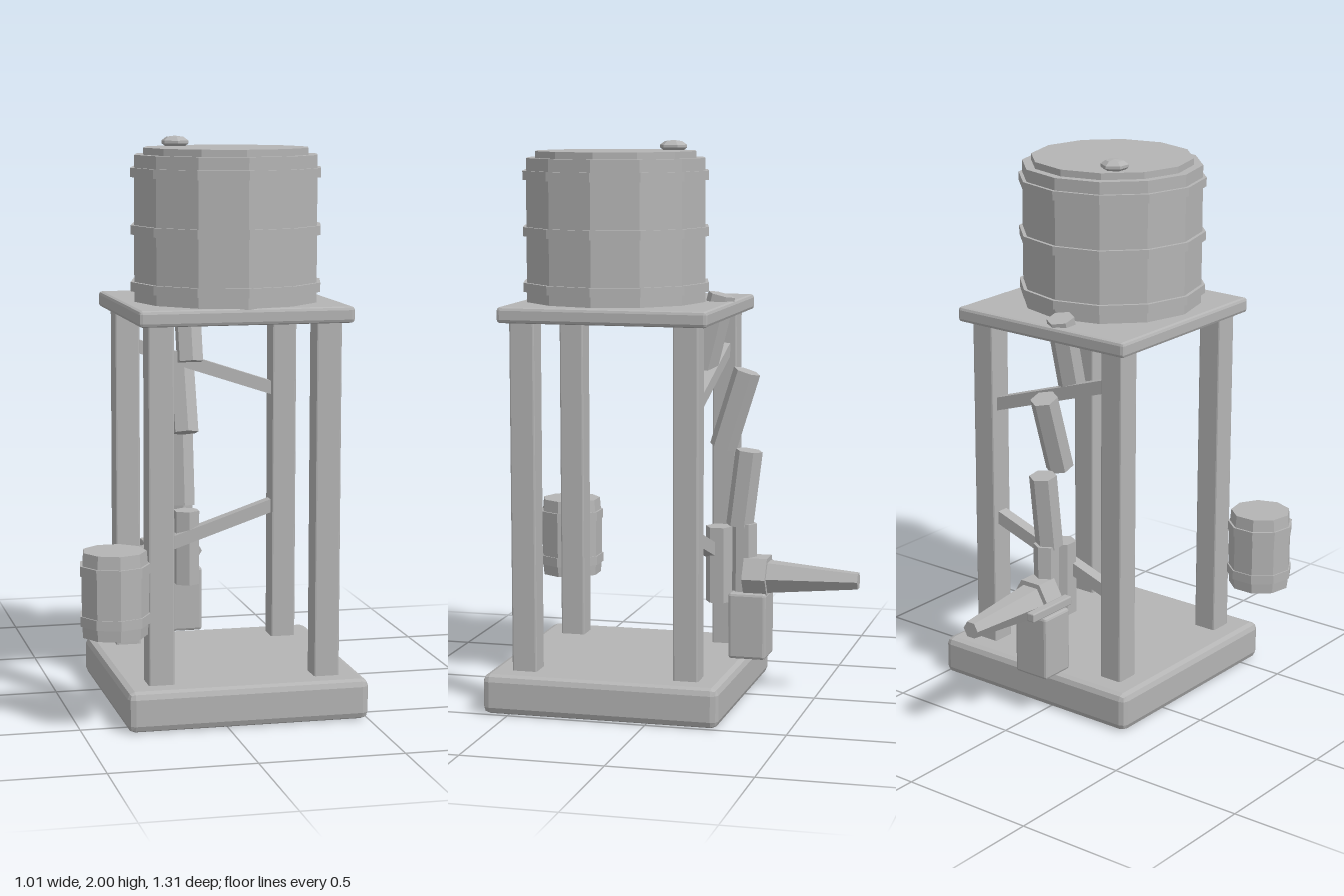
import * as THREE from 'three';
import { RoundedBoxGeometry } from 'three/addons/geometries/RoundedBoxGeometry.js';

const CX = 0.077, CZ = 0.168; // centre of the tower
const PIPE_X = 0.017;

export function createModel() {
  const root = new THREE.Group();
  const grey = new THREE.MeshStandardMaterial({ color: 0xb4b4b4 });
  grey.name = 'plainGrey';
  grey.flatShading = true;

  const add = (name, geometry, x, y, z, parent = root) => {
    const mesh = new THREE.Mesh(geometry, grey);
    mesh.name = name;
    mesh.position.set(x, y, z);
    parent.add(mesh);
    return mesh;
  };
  // Box with chamfered edges
  const chamferBox = (w, h, d, r) => new RoundedBoxGeometry(w, h, d, 1, r);
  const prism = (rTop, rBottom, h, sides, start = 0) =>
    new THREE.CylinderGeometry(rTop, rBottom, h, sides, 1, false, start);
  const group = (name) => {
    const g = new THREE.Group();
    g.name = name;
    root.add(g);
    return g;
  };

  // Base slab, platform and four posts
  add('base', chamferBox(0.85, 0.142, 0.85, 0.025), CX, 0.071, CZ);
  add('platform', chamferBox(0.75, 0.056, 0.75, 0.012), CX, 1.406, CZ);
  const posts = group('posts');
  for (const sx of [-1, 1]) {
    for (const sz of [-1, 1]) {
      add('post', chamferBox(0.09, 1.3, 0.09, 0.006), CX + sx * 0.293, 0.76, CZ + 0.002 + sz * 0.293, posts);
    }
  }

  // Diagonal braces between the back posts
  for (const [y, angle] of [[1.157, -0.32], [0.549, 0.325]]) {
    add('brace', new THREE.BoxGeometry(0.57, 0.047, 0.045), CX, y, -0.122).rotation.z = angle;
  }

  // Twelve-sided tank with hoops and a lid
  const tank = group('tank');
  tank.position.set(CX, 0, 0.215);
  add('tankBody', prism(0.326, 0.326, 0.51, 12), 0, 1.685, 0, tank);
  add('tankLid', prism(0.293, 0.293, 0.03, 12), 0, 1.949, 0, tank);
  for (const y of [1.487, 1.683, 1.88]) {
    add('tankHoop', prism(0.339, 0.339, 0.032, 12), 0, y, 0, tank);
  }

  // Faceted lid knob
  const knob = [[0, 1.958], [0.032, 1.96], [0.05, 1.973], [0.05, 1.983], [0.032, 1.996], [0, 2]];
  add('lidKnob', new THREE.LatheGeometry(knob.map(([r, y]) => new THREE.Vector2(r, y)), 6), -0.067, 0, 0.042);

  // Small nine-sided barrel beside the front post
  const barrel = group('sideBarrel');
  barrel.position.set(-0.385, 0, 0.531);
  const staves = [[0, 0.335], [0.113, 0.335], [0.117, 0.4], [0.117, 0.55], [0.11, 0.626], [0, 0.626]];
  add('barrelBody', new THREE.LatheGeometry(staves.map(([r, y]) => new THREE.Vector2(r, y)), 9), 0, 0, 0, barrel);
  for (const y of [0.392, 0.564]) {
    add('barrelHoop', prism(0.122, 0.122, 0.034, 9), 0, y, 0, barrel);
  }

  // Broken pipe: tilted hexagonal lengths given as bottom and top [y, z]
  const pipes = group('pipe');
  const lengths = [
    [1.18, -0.088, 1.457, -0.157],
    [0.908, -0.163, 1.185, -0.25],
    [0.626, -0.225, 0.9, -0.259],
    [0.345, -0.15, 0.62, -0.15],
  ];
  for (const [y0, z0, y1, z1] of lengths) {
    const axis = new THREE.Vector3(0, y1 - y0, z1 - z0);
    const pipe = add('pipeLength', prism(0.05, 0.05, axis.length(), 6), PIPE_X, (y0 + y1) / 2, (z0 + z1) / 2, pipes);
    pipe.quaternion.setFromUnitVectors(new THREE.Vector3(0, 1, 0), axis.normalize());
  }

  // Pump: body, neck, collar, tapered spout and lever
  const pump = group('pump');
  add('pumpBody', chamferBox(0.143, 0.24, 0.137, 0.01), PIPE_X, 0.27, -0.267, pump);
  add('pumpNeck', prism(0.046, 0.046, 0.26, 6), PIPE_X, 0.505, -0.243, pump);
  add('pumpCollar', prism(0.082, 0.082, 0.085, 6, Math.PI / 2), PIPE_X, 0.444, -0.292, pump)
    .rotation.x = -Math.PI / 2;
  add('pumpSpout', prism(0.032, 0.064, 0.34, 6, Math.PI / 2), PIPE_X, 0.444, -0.49, pump)
    .rotation.x = -Math.PI / 2;
  add('pumpLever', chamferBox(0.032, 0.032, 0.214, 0.004), -0.081, 0.445, -0.347, pump);

  return root;
}
